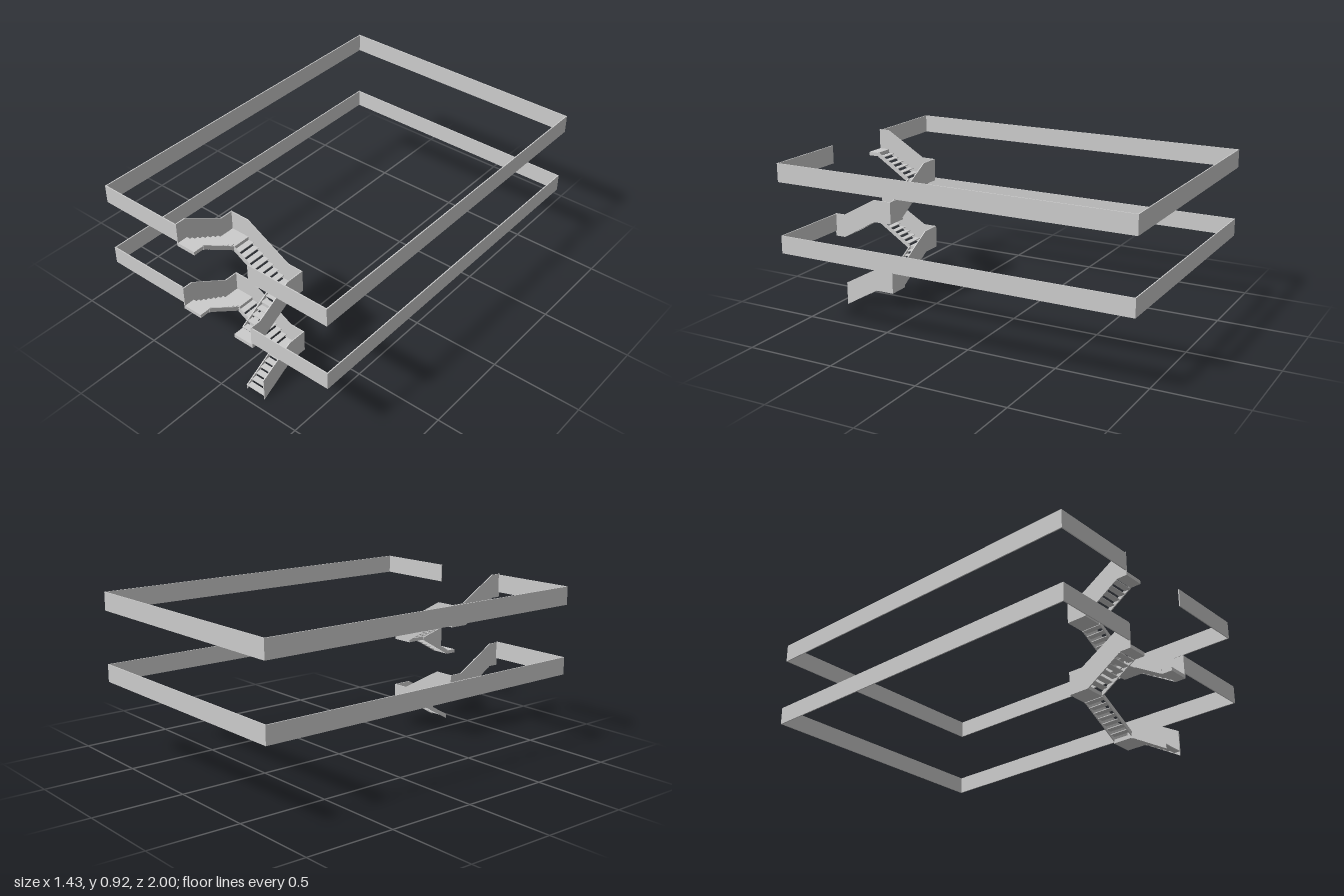
import * as THREE from 'three';

const T = 0.006; // sheet thickness
const XL = -0.22, XLI = -0.105, XR = 0.245, XRI = 0.125; // stair edges in x
const ZB = 0.63, ZI = 0.74, ZS = 0.94, ZF = 1.0; // stair edges in z
const STOREY = 0.4;

const material = new THREE.MeshStandardMaterial({ color: 0xcccccc, flatShading: true, side: THREE.DoubleSide });

function add(parent, name, geometry) {
  const mesh = new THREE.Mesh(geometry, material);
  mesh.name = name;
  parent.add(mesh);
  return mesh;
}

// Box given by its limits on each axis
function block(parent, name, x0, x1, y0, y1, z0, z1) {
  const geometry = new THREE.BoxGeometry(x1 - x0, y1 - y0, z1 - z0);
  geometry.translate((x0 + x1) / 2, (y0 + y1) / 2, (z0 + z1) / 2);
  return add(parent, name, geometry);
}

// Thin upright sheet; points are (x, y) or, when alongZ, (z, y)
function sheet(parent, name, points, at, alongZ) {
  const shape = new THREE.Shape(points.map(([u, y]) => new THREE.Vector2(u, y)));
  const geometry = new THREE.ExtrudeGeometry(shape, { depth: T, bevelEnabled: false });
  geometry.translate(0, 0, -T / 2);
  if (alongZ) geometry.rotateY(-Math.PI / 2);
  geometry.translate(alongZ ? at : 0, 0, alongZ ? 0 : at);
  return add(parent, name, geometry);
}

// Sloping strip that carries the inner ends of the treads
function stringer(parent, u0, y0, u1, y1, at, alongZ) {
  const h = 0.025;
  sheet(parent, 'stringer', [[u0, y0], [u1, y1], [u1, y1 + h], [u0, y0 + h]], at, alongZ);
}

// Open treads climbing from u0 to u1 between the cross limits a and b
function treads(parent, count, u0, u1, y0, rise, a, b, alongZ) {
  const step = (u1 - u0) / count;
  for (let i = 0; i < count; i++) {
    const p = u0 + i * step, q = p + step;
    const lo = Math.min(p, q), hi = Math.max(p, q);
    const y = y0 + (i + 1) * rise;
    if (alongZ) block(parent, 'tread', a, b, y - 0.004, y, lo, hi);
    else block(parent, 'tread', lo, hi, y - 0.004, y, a, b);
  }
}

function createStair(upper) {
  const stair = new THREE.Group();
  stair.name = upper ? 'upperStair' : 'lowerStair';
  const xl = XL + T / 2, xr = XR - T / 2, zb = ZB + T / 2;

  // First flight with its balustrade, climbing to the back
  const start = upper ? [[ZF, 0.13], [ZF, 0], [ZS, 0]] : [[ZS, 0]];
  sheet(stair, 'firstBalustrade',
    [[ZS, 0.13], ...start, [ZI, 0.115], [ZB, 0.115], [ZB, 0.24], [ZI, 0.24]], xr, true);
  treads(stair, 6, ZS, ZI, 0.007, 0.018, XRI, XR, true);
  stringer(stair, ZS, 0, ZI, 0.115, XRI, true);

  // Second flight, crossing along the back
  sheet(stair, 'backBalustrade',
    [[XR, 0.115], [XR, 0.24], [0.155, 0.24], [XLI, 0.385], [XL, 0.385],
      [XL, 0.26], [XLI, 0.26], [0.145, 0.115]], zb, false);
  treads(stair, 7, XRI, XLI, 0.135, 0.018, ZB, ZI, false);
  stringer(stair, XRI, 0.125, XLI, 0.257, ZI, false);

  // Third flight, climbing to the front
  sheet(stair, 'thirdBalustrade',
    [[ZB, 0.26], [ZI, 0.26], [ZS, 0.39], [ZF, 0.39], [ZF, 0.522],
      [ZS, 0.522], [0.71, 0.385], [ZB, 0.385]], xl, true);
  treads(stair, 6, ZI, ZS, 0.28, 0.018, XL, XLI, true);
  stringer(stair, ZI, 0.26, ZS, 0.39, XLI, true);

  // Landings
  block(stair, 'lowerLanding', XRI, XR, 0.115, 0.135, ZB, ZI);
  block(stair, 'upperLanding', XL, XLI, 0.26, 0.28, ZB, ZI);
  block(stair, 'arrivalLanding', XL, XLI, 0.39, 0.41, ZS, ZF);
  if (upper) block(stair, 'startLanding', XRI, XR, 0, 0.02, ZS, ZF);
  return stair;
}

// Parapet around a floor, open at the front for the stair
function createParapet(y0, y1) {
  const parapet = new THREE.Group();
  parapet.name = 'parapet';
  const X = 0.715;
  block(parapet, 'backWall', -X, X, y0, y1, -1, -1 + T);
  block(parapet, 'rightWall', -X, -X + T, y0, y1, -1, 1);
  block(parapet, 'leftWall', X - T, X, y0, y1, -1, 1);
  block(parapet, 'frontRightWall', -X, XL, y0, y1, 1 - T, 1);
  block(parapet, 'frontLeftWall', XR, X, y0, y1, 1 - T, 1);
  return parapet;
}

export function createModel() {
  const model = new THREE.Group();
  model.name = 'stairsAndParapets';
  for (let i = 0; i < 2; i++) {
    const stair = createStair(i === 1);
    stair.position.y = i * STOREY;
    model.add(stair);
    model.add(createParapet(0.43 + i * 0.387, 0.527 + i * 0.39));
  }
  return model;
}
